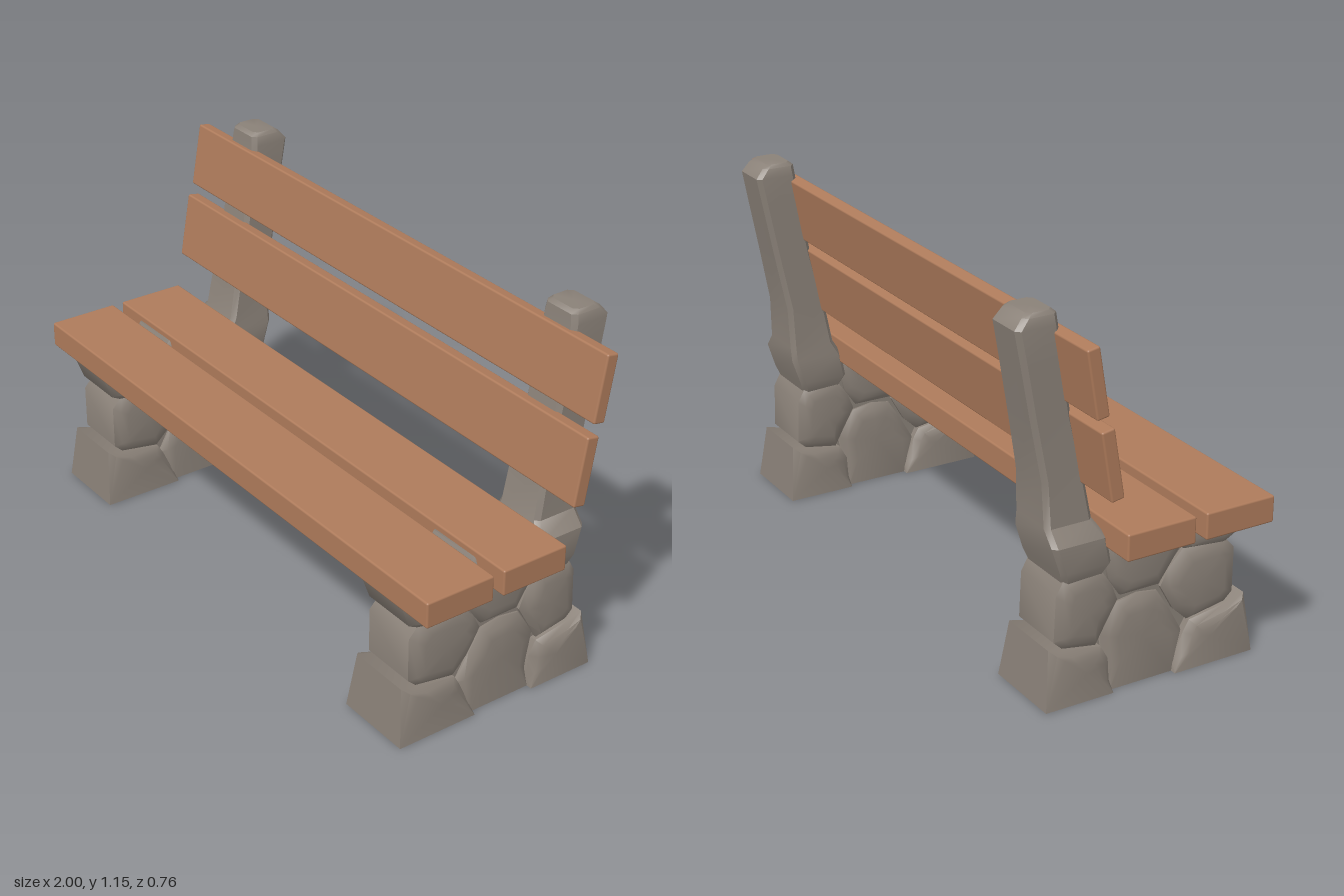
import * as THREE from 'three';
import { toCreasedNormals } from 'three/addons/utils/BufferGeometryUtils.js';
import { RoundedBoxGeometry } from 'three/addons/geometries/RoundedBoxGeometry.js';

const wood = new THREE.MeshStandardMaterial({ color: 0xae7b5b });
wood.name = 'wood';
const stoneGrey = new THREE.MeshStandardMaterial({ color: 0x8a8178 });
stoneGrey.name = 'stone grey';

// Skin a stack of rings (each a list of [x, y, z], counter-clockwise about the stacking axis) and close both ends.
function loft(rings, startCentre, endCentre, crease) {
  const n = rings[0].length;
  const positions = [...rings.flat(), startCentre, endCentre].flat();
  const start = rings.length * n, end = start + 1, last = start - n;
  const index = [];
  for (let i = 0; i < n; i++) {
    const j = (i + 1) % n;
    for (let r = 0; r < rings.length - 1; r++) {
      const a = r * n, b = a + n;
      index.push(a + i, a + j, b + j, a + i, b + j, b + i);
    }
    index.push(start, j, i, end, last + i, last + j);
  }
  const geometry = new THREE.BufferGeometry();
  geometry.setAttribute('position', new THREE.Float32BufferAttribute(positions, 3));
  geometry.setIndex(index);
  return toCreasedNormals(geometry, crease);
}

// Pillow-shaped stone from a [z, y] outline, domed toward both x sides.
function stoneGeometry(outline, halfWidth) {
  const pts = outline.map(([z, y]) => new THREE.Vector2(y, z));
  if (THREE.ShapeUtils.area(pts) < 0) pts.reverse();
  const c = pts.reduce((s, p) => s.add(p), new THREE.Vector2()).divideScalar(pts.length);
  const profile = [[-1, 0.05], [-0.95, 0.022], [-0.8, 0], [0.8, 0], [0.95, 0.022], [1, 0.05]];
  const rings = profile.map(([f, inset]) => pts.map((p) => {
    const onGround = p.x < 0.001;
    const d = c.clone().sub(p).setLength(onGround ? 0 : inset);
    return [(onGround ? Math.sign(f) : f) * halfWidth, p.x + d.x, p.y + d.y];
  }));
  const w = halfWidth * 1.02;
  return loft(rings, [-w, c.x, c.y], [w, c.x, c.y], 0.8);
}

// [name, half width, outline in z and y]
const stones = [
  ['baseFrontStone', 0.127, [[0.378, 0], [0.36, 0.182], [0.3, 0.165], [0.17, 0.145], [0.15, 0.11], [0.115, 0.03], [0.11, 0]]],
  ['baseMiddleStone', 0.108, [[0.11, 0], [0.155, 0.11], [0.11, 0.19], [0.065, 0.26], [0, 0.27], [-0.07, 0.26], [-0.125, 0.17], [-0.105, 0.05], [-0.1, 0]]],
  ['baseBackStone', 0.127, [[-0.322, 0], [-0.302, 0.178], [-0.25, 0.165], [-0.13, 0.145], [-0.105, 0.1], [-0.1, 0.03], [-0.1, 0]]],
  ['middleFrontStone', 0.112, [[0.327, 0.33], [0.327, 0.19], [0.3, 0.165], [0.17, 0.142], [0.12, 0.19], [0.075, 0.27], [0.1, 0.32], [0.15, 0.372], [0.29, 0.37]]],
  ['middleBackStone', 0.112, [[-0.272, 0.33], [-0.277, 0.19], [-0.25, 0.165], [-0.14, 0.145], [-0.11, 0.2], [-0.07, 0.27], [-0.09, 0.32], [-0.13, 0.38], [-0.25, 0.37]]],
  ['topFrontStone', 0.112, [[0.36, 0.46], [0.328, 0.375], [0.29, 0.355], [0.15, 0.37], [0.13, 0.4], [0.14, 0.46]]],
  ['topMiddleStone', 0.11, [[0.135, 0.46], [0.105, 0.512], [0.02, 0.52], [-0.1, 0.5], [-0.115, 0.41], [-0.1, 0.34], [-0.06, 0.28], [0.07, 0.28], [0.14, 0.38]]],
];

// Leaning post: [y, front z, back z, half width, shift in x]
const postSections = [
  [0.36, -0.12, -0.25, 0.095, 0],
  [0.40, -0.1, -0.264, 0.11, 0],
  [0.48, -0.115, -0.29, 0.107, 0],
  [0.525, -0.14, -0.291, 0.084, -0.016],
  [0.66, -0.165, -0.296, 0.079, -0.018],
  [0.84, -0.205, -0.33, 0.072, -0.016],
  [1.0, -0.233, -0.36, 0.07, -0.014],
  [1.105, -0.247, -0.38, 0.068, -0.014],
  [1.135, -0.25, -0.355, 0.063, -0.014],
  [1.146, -0.262, -0.34, 0.054, -0.014],
];

function postGeometry(side) {
  const b = 0.014;
  const rings = postSections.map(([y, f, k, h, shift]) => [
    [h, f - b], [h - b, f], [-h + b, f], [-h, f - b],
    [-h, k + b], [-h + b, k], [h - b, k], [h, k + b],
  ].map(([x, z]) => [x + shift * side, y, z]).reverse());
  return loft(rings, [0, 0.36, -0.185], [-0.014 * side, 1.146, -0.3], 0.6);
}

function add(parent, name, geometry, material) {
  const mesh = new THREE.Mesh(geometry, material);
  mesh.name = name;
  parent.add(mesh);
  return mesh;
}

function createSupport(side) {
  const support = new THREE.Group();
  support.name = side > 0 ? 'leftSupport' : 'rightSupport';
  support.position.x = 0.787 * side;
  for (const [name, halfWidth, outline] of stones) {
    add(support, name, stoneGeometry(outline, halfWidth), stoneGrey);
  }
  // Mortar core behind the joints
  add(support, 'core', new THREE.BoxGeometry(0.16, 0.42, 0.46), stoneGrey).position.set(0, 0.24, 0.02);
  add(support, 'backPost', postGeometry(side), stoneGrey);
  return support;
}

// [name, height, depth, y, z, tilt]
const planks = [
  ['frontSeatPlank', 0.082, 0.23, 0.491, 0.25, 0],
  ['rearSeatPlank', 0.082, 0.224, 0.491, -0.012, 0],
  ['lowerBackPlank', 0.213, 0.042, 0.747, -0.178, -0.175],
  ['upperBackPlank', 0.206, 0.04, 0.989, -0.23, -0.175],
];

export function createModel() {
  const bench = new THREE.Group();
  bench.name = 'bench';
  for (const side of [1, -1]) bench.add(createSupport(side));
  for (const [name, height, depth, y, z, tilt] of planks) {
    const plank = add(bench, name, new RoundedBoxGeometry(2, height, depth, 2, 0.006), wood);
    plank.position.set(0, y, z);
    plank.rotation.x = tilt;
  }
  return bench;
}
